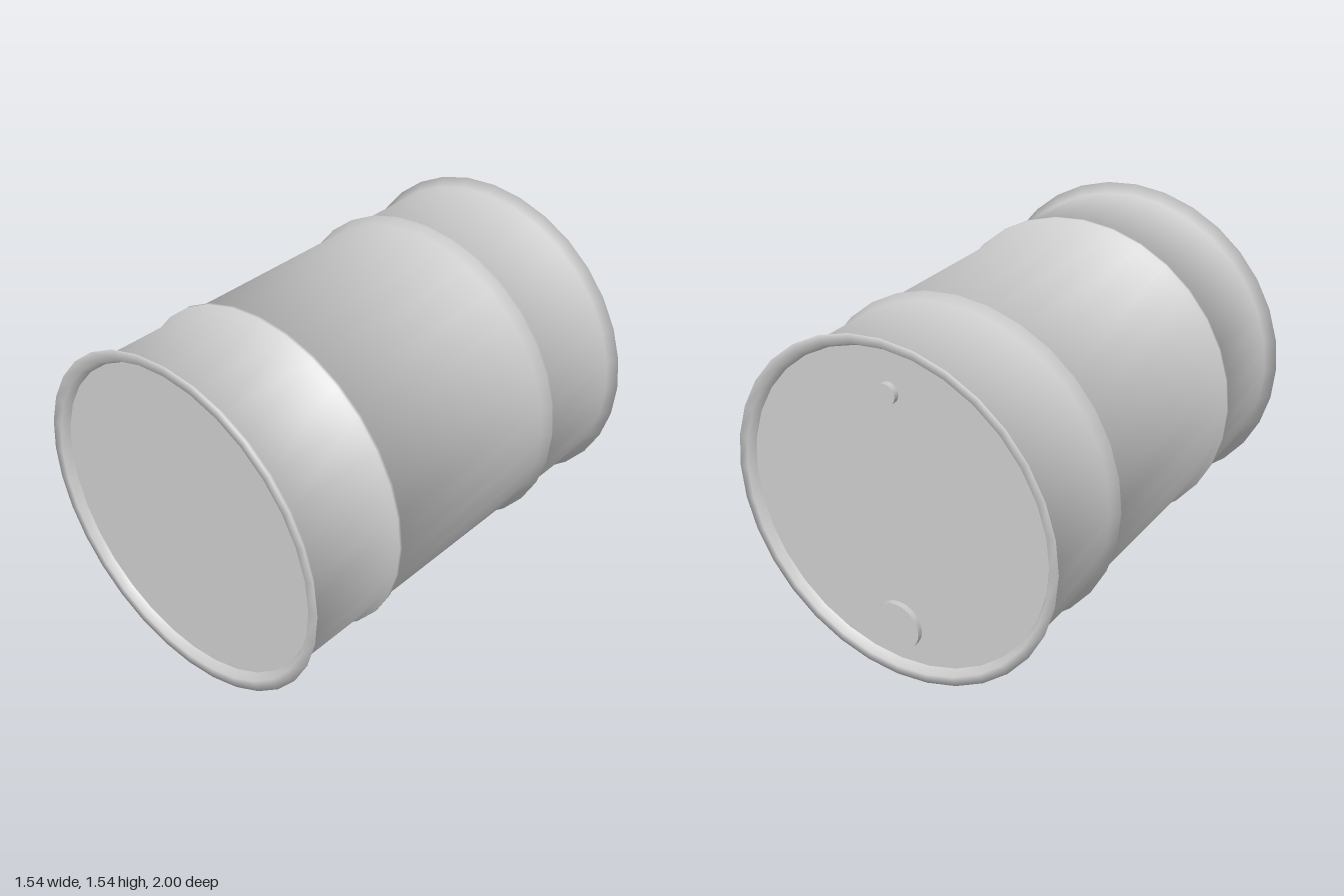
import * as THREE from 'three';

const SIDES = 32;
const CENTRE_Y = 0.772;

// Lathe turned onto the z axis; each profile corner takes the even average of
// its two neighbouring slopes, so the whole skin shades softly.
function softLathe(profile) {
  const points = profile.map(([r, z]) => new THREE.Vector2(r, z));
  const geometry = new THREE.LatheGeometry(points, SIDES);
  const slopes = points.slice(1).map((p, i) => {
    const d = p.clone().sub(points[i]);
    return new THREE.Vector2(d.y, -d.x).normalize();
  });
  const normals = points.map((p, i) => {
    const n = new THREE.Vector2();
    if (i > 0) n.add(slopes[i - 1]);
    if (i < slopes.length) n.add(slopes[i]);
    return n.normalize();
  });
  const attribute = geometry.attributes.normal;
  for (let i = 0; i < attribute.count; i++) {
    const n = normals[i % points.length];
    const angle = Math.floor(i / points.length) / SIDES * Math.PI * 2;
    attribute.setXYZ(i, n.x * Math.sin(angle), n.y, n.x * Math.cos(angle));
  }
  return geometry.rotateX(Math.PI / 2);
}

export function createModel() {
  const group = new THREE.Group();
  group.name = 'drum';
  const material = new THREE.MeshStandardMaterial({ color: 0xcccccc });

  function add(name, geometry, x, y, z) {
    const mesh = new THREE.Mesh(geometry, material);
    mesh.name = name;
    mesh.position.set(x, y, z);
    group.add(mesh);
    return mesh;
  }

  // Shell from back to front: flared rim, wide hoop, narrow hoop, flared rim
  add('shell', softLathe([
    [0.705, -0.965], [0.725, -1], [0.765, -1], [0.73, -0.96],
    [0.73, -0.545], [0.757, -0.505], [0.73, -0.465],
    [0.73, 0.485], [0.752, 0.492], [0.752, 0.508], [0.73, 0.515],
    [0.73, 0.96], [0.772, 1], [0.725, 1], [0.705, 0.965],
  ]), 0, CENTRE_Y, 0);

  // Recessed end caps, with corners matching the shell
  for (const [name, side] of [['frontCap', 1], ['backCap', -1]]) {
    const cap = add(name, new THREE.CircleGeometry(0.705, SIDES), 0, CENTRE_Y, side * 0.965);
    if (side < 0) cap.rotation.y = Math.PI;
  }

  // Filler and vent plugs on the back cap
  for (const [name, radius, y] of [['fillerPlug', 0.108, -0.53], ['ventPlug', 0.045, 0.53]]) {
    const plug = new THREE.CylinderGeometry(radius, radius, 0.03, 20).rotateX(Math.PI / 2);
    add(name, plug, 0, CENTRE_Y + y, -0.975);
  }

  return group;
}
